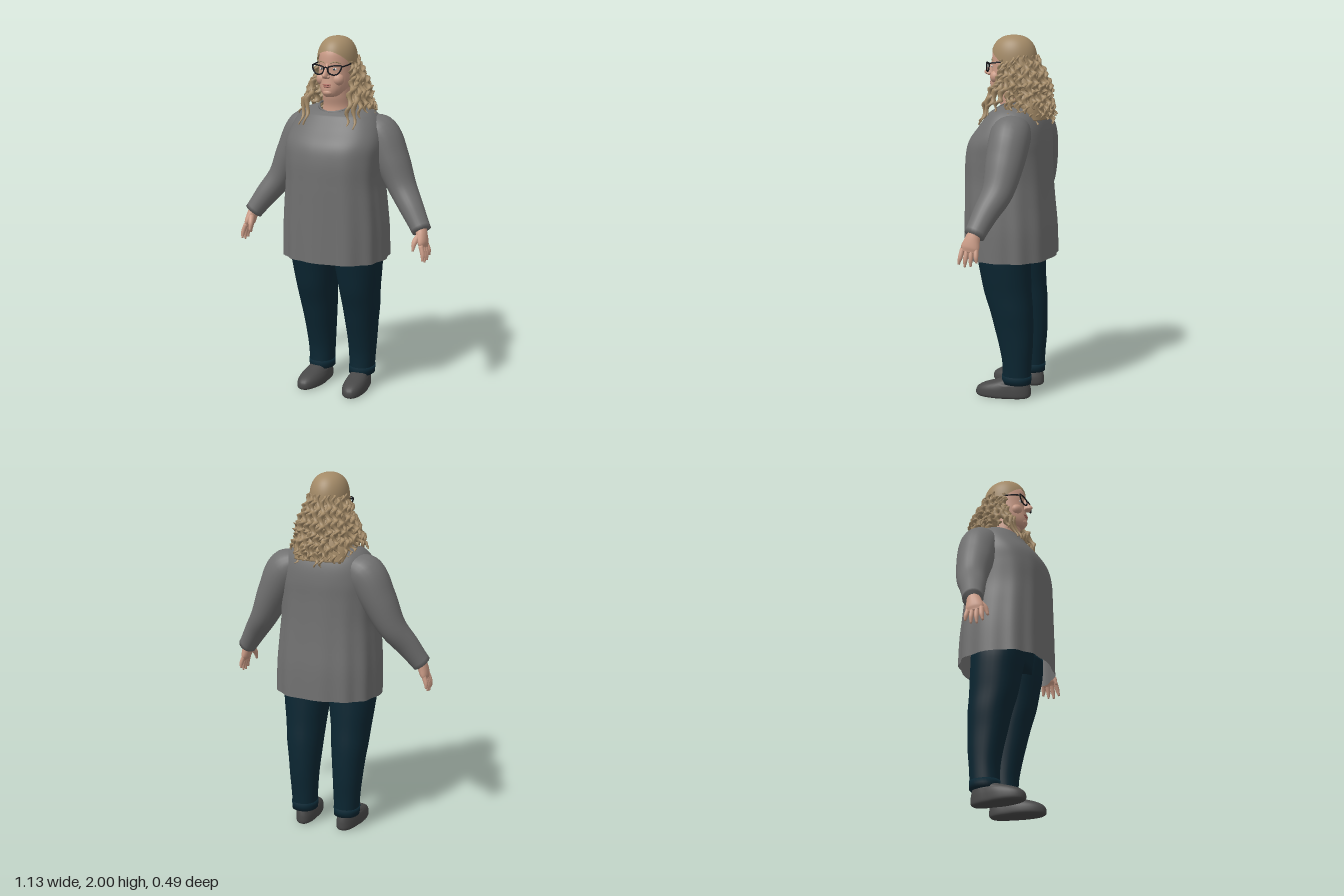
import * as THREE from 'three';

const mat = (name, color, side = THREE.FrontSide) => {
  const m = new THREE.MeshStandardMaterial({ color, side });
  m.name = name;
  return m;
};
const V = (x, y, z) => new THREE.Vector3(x, y, z);

// Closed surface through rows of ring points, optionally capped at either end
function skin(rows, capStart = true, capEnd = true) {
  const n = rows[0].length, pos = [], idx = [];
  rows.forEach(r => r.forEach(p => pos.push(p.x, p.y, p.z)));
  for (let i = 0; i < rows.length - 1; i++) for (let j = 0; j < n; j++) {
    const a = i * n + j, b = i * n + (j + 1) % n;
    idx.push(a, b, a + n, b, b + n, a + n);
  }
  const cap = (i, flip) => {
    const c = rows[i].reduce((s, p) => s.add(p), V(0, 0, 0)).divideScalar(n);
    const k = pos.length / 3;
    pos.push(c.x, c.y, c.z);
    for (let j = 0; j < n; j++) {
      const a = i * n + j, b = i * n + (j + 1) % n;
      flip ? idx.push(k, b, a) : idx.push(k, a, b);
    }
  };
  if (capStart) cap(0, true);
  if (capEnd) cap(rows.length - 1, false);
  const g = new THREE.BufferGeometry();
  g.setAttribute('position', new THREE.Float32BufferAttribute(pos, 3));
  g.setIndex(idx);
  g.computeVertexNormals();
  return g;
}

// Smoothly interpolated list of number rows
function spline(keys, t) {
  const f = t * (keys.length - 1), i = Math.min(Math.floor(f), keys.length - 2), u = f - i;
  const at = k => keys[Math.max(0, Math.min(keys.length - 1, k))];
  return keys[0].map((_, c) => {
    const p = at(i - 1)[c], a = at(i)[c], b = at(i + 1)[c], q = at(i + 2)[c];
    return a + 0.5 * u * (b - p + u * (2 * p - 5 * a + 4 * b - q + u * (3 * (a - b) + q - p)));
  });
}

// Horizontal rings, keys = [y, xMin, xMax, zMin, zMax]; power 2 is an ellipse
function loft(keys, { segs = 32, rows = 30, power = 2, warp, capStart, capEnd } = {}) {
  const out = [];
  for (let i = 0; i <= rows; i++) {
    const [y, x0, x1, z0, z1] = spline(keys, i / rows), ring = [];
    for (let j = 0; j < segs; j++) {
      const a = j / segs * Math.PI * 2, c = Math.cos(a), s = -Math.sin(a), e = 2 / power;
      const p = V((x0 + x1) / 2 + (x1 - x0) / 2 * Math.sign(c) * Math.abs(c) ** e, y,
        (z0 + z1) / 2 + (z1 - z0) / 2 * Math.sign(s) * Math.abs(s) ** e);
      if (warp) warp(p, a, i / rows);
      ring.push(p);
    }
    out.push(ring);
  }
  return skin(out, capStart, capEnd);
}

// Limb swept along a curve, radii = [[across, alongZ], ...]; twist makes a rope-like lock
function sweep(points, radii, { segs = 16, rows = 20, twist = 0, coil = 0, lobes = 0, phase = 0 } = {}) {
  const curve = new THREE.CatmullRomCurve3(points.map(p => V(...p))), out = [];
  for (let i = 0; i <= rows; i++) {
    const t = i / rows, T = curve.getTangent(t), c = curve.getPoint(t), [ra, rb] = spline(radii, t);
    const N = V(0, 0, 1).cross(T).normalize(), B = T.clone().cross(N), w = phase + twist * t;
    c.addScaledVector(N, coil * Math.cos(w)).addScaledVector(B, coil * Math.sin(w));
    const ring = [];
    for (let j = 0; j < segs; j++) {
      const a = j / segs * Math.PI * 2, k = 1 + lobes * Math.cos(2 * (a - w));
      ring.push(c.clone().addScaledVector(N, ra * k * Math.cos(a)).addScaledVector(B, rb * k * Math.sin(a)));
    }
    out.push(ring);
  }
  return skin(out);
}

export function createModel() {
  const root = new THREE.Group();
  const skinM = mat('skin', 0xcb9c87), hairM = mat('blonde hair', 0xa38a67, THREE.DoubleSide);
  const topM = mat('grey knit', 0x707070, THREE.DoubleSide), jeansM = mat('dark denim', 0x0b2632);
  const shoeM = mat('shoe grey', 0x484848), frameM = mat('glasses black', 0x14151b);
  const lipM = mat('lips', 0xa8685e), whiteM = mat('eye white', 0xd8d0ca), irisM = mat('iris', 0x3c4a50);
  const add = (name, geo, m, parent = root) => {
    const mesh = new THREE.Mesh(geo, m);
    mesh.name = name;
    parent.add(mesh);
    return mesh;
  };
  const blob = (name, m, p, s) => {
    const mesh = add(name, new THREE.SphereGeometry(1, 16, 12), m);
    mesh.position.set(...p);
    mesh.scale.set(...s);
  };
  const tube = (name, pts, r, m, closed = false) => add(name, new THREE.TubeGeometry(
    new THREE.CatmullRomCurve3(pts.map(p => V(...p)), closed), 32, r, 6, closed), m);
  let seed = 7;
  const rnd = () => (seed = (seed * 16807) % 2147483647) / 2147483647;

  // Loose tunic: open hem with soft folds, scooped neckline
  const tunic = [[0.79, 0.292, -0.238, 0.246], [0.95, 0.29, -0.233, 0.246], [1.1, 0.28, -0.22, 0.246],
    [1.22, 0.27, -0.212, 0.246], [1.34, 0.272, -0.207, 0.243], [1.43, 0.275, -0.205, 0.222],
    [1.51, 0.26, -0.195, 0.165], [1.57, 0.228, -0.175, 0.122], [1.61, 0.18, -0.145, 0.1], [1.635, 0.1, -0.1, 0.088]];
  add('tunic', loft(tunic.map(([y, x, b, f]) => [y, -x, x, b, f]), {
    segs: 96, rows: 54, power: 2.45, capStart: false, capEnd: false,
    warp: (p, a, t) => {
      const fold = 1 + 0.02 * Math.max(0, 1 - t * 1.7) * Math.cos(12 * a + 0.6 * Math.sin(3 * a));
      p.x *= fold;
      p.z *= fold;
      p.y -= Math.max(0, t - 0.8) * 5 * 0.4 * Math.max(0, p.z);
    },
  }), topM);
  tube('neckBand', [[0, 1.597, 0.09], [0.07, 1.61, 0.06], [0.1, 1.636, 0], [0.06, 1.638, -0.085],
    [-0.06, 1.638, -0.085], [-0.1, 1.636, 0], [-0.07, 1.61, 0.06]], 0.006, topM, true);

  // Jeans hips, hidden under the tunic
  add('hips', loft([[0.77, -0.25, 0.25, -0.135, 0.13], [1.0, -0.24, 0.24, -0.16, 0.16]], { rows: 4 }), jeansM);

  for (const s of [1, -1]) {
    const side = s > 0 ? 'left' : 'right';
    const m = keys => keys.map(([x, ...rest]) => [x * s, ...rest]);
    const mx = keys => keys.map(([y, a, b, c, d]) => s > 0 ? [y, a, b, c, d] : [y, -b, -a, c, d]);

    // Sleeve
    add(side + 'Sleeve', sweep(m([[0.15, 1.525, -0.06], [0.225, 1.475, -0.065], [0.3, 1.345, -0.06],
      [0.375, 1.195, -0.045], [0.45, 1.09, -0.005], [0.522, 0.985, 0.03]]),
      [[0.07, 0.09], [0.108, 0.11], [0.097, 0.105], [0.076, 0.085], [0.064, 0.068], [0.052, 0.055]],
      { segs: 24, rows: 30 }), topM);

    // Hand with four fingers and a thumb
    add(side + 'Palm', sweep(m([[0.515, 1.0, 0.028], [0.526, 0.965, 0.038], [0.537, 0.925, 0.046], [0.544, 0.9, 0.05]]),
      [[0.03, 0.034], [0.029, 0.042], [0.024, 0.05], [0.013, 0.043]]), skinM);
    for (let f = 0; f < 4; f++) {
      const z = 0.012 + f * 0.025, len = [0.055, 0.075, 0.08, 0.068][f];
      add(side + 'Finger', sweep(m([[0.54, 0.918, z], [0.555, 0.905 - len * 0.5, z + (f - 1) * 0.004],
        [0.557, 0.905 - len, z + (f - 1) * 0.008]]), [[0.013, 0.013], [0.012, 0.012], [0.006, 0.006]],
        { segs: 10, rows: 10 }), skinM);
    }
    add(side + 'Thumb', sweep(m([[0.518, 0.965, 0.06], [0.505, 0.93, 0.092], [0.503, 0.888, 0.108]]),
      [[0.017, 0.017], [0.015, 0.015], [0.007, 0.007]], { segs: 10, rows: 10 }), skinM);

    // Trouser leg and ankle cuff
    add(side + 'Leg', loft(mx([[0.085, 0.06, 0.195, -0.145, 0.012], [0.2, 0.055, 0.203, -0.15, 0.012],
      [0.3, 0.05, 0.212, -0.158, 0.03], [0.4, 0.042, 0.222, -0.16, 0.055], [0.5, 0.033, 0.236, -0.158, 0.08],
      [0.6, 0.025, 0.245, -0.15, 0.112], [0.7, 0.012, 0.258, -0.145, 0.132], [0.8, 0, 0.268, -0.14, 0.15],
      [0.9, 0, 0.265, -0.14, 0.155]]), { power: 2.2 }), jeansM);
    add(side + 'Cuff', loft(mx([[0.085, 0.057, 0.198, -0.148, 0.014], [0.13, 0.056, 0.202, -0.15, 0.015]]),
      { rows: 2, power: 2.2 }), jeansM);

    // Slip-on shoe, toes turned slightly out
    add(side + 'Shoe', loft(mx([[0, 0.08, 0.188, -0.13, 0.152], [0.012, 0.066, 0.198, -0.145, 0.165],
      [0.045, 0.066, 0.198, -0.146, 0.16], [0.07, 0.074, 0.193, -0.142, 0.125], [0.09, 0.084, 0.185, -0.136, 0.065],
      [0.105, 0.09, 0.175, -0.13, 0.02]]), {
      rows: 20, power: 2.3,
      warp: p => { p.x = s * 0.132 + (p.x - s * 0.132) * (p.z < -0.02 ? 0.9 : 1) + s * p.z * 0.08; },
    }), shoeM);

    // Eye, brow and glasses rim
    blob(side + 'Eye', whiteM, [s * 0.037, 1.831, 0.104], [0.014, 0.007, 0.007]);
    blob(side + 'Iris', irisM, [s * 0.037, 1.831, 0.108], [0.006, 0.006, 0.005]);
    tube(side + 'Brow', m([[0.016, 1.862, 0.114], [0.04, 1.869, 0.106], [0.064, 1.862, 0.088]]), 0.003, hairM);
    tube(side + 'Rim', m([[0.012, 1.84, 0.134], [0.016, 1.815, 0.134], [0.04, 1.803, 0.131], [0.068, 1.81, 0.126],
      [0.086, 1.85, 0.12], [0.045, 1.851, 0.13]]), 0.0042, frameM, true);
    tube(side + 'Temple', m([[0.085, 1.846, 0.12], [0.095, 1.85, 0.09], [0.1, 1.858, 0.02]]), 0.004, frameM);
    blob(side + 'Nostril', skinM, [s * 0.013, 1.79, 0.133], [0.01, 0.009, 0.012]);
    blob(side + 'Cheek', skinM, [s * 0.046, 1.775, 0.082], [0.034, 0.034, 0.032]);
  }
  tube('glassesBridge', [[-0.013, 1.837, 0.134], [0, 1.842, 0.138], [0.013, 1.837, 0.134]], 0.004, frameM);

  // Neck and head
  add('neck', loft([[1.55, -0.1, 0.1, -0.1, 0.075], [1.62, -0.08, 0.08, -0.085, 0.068],
    [1.68, -0.076, 0.076, -0.08, 0.082], [1.75, -0.075, 0.075, -0.08, 0.09]]), skinM);
  add('head', loft([[1.682, 0.03, 0.03, 0.11], [1.695, 0.052, -0.03, 0.122], [1.725, 0.074, -0.08, 0.126],
    [1.77, 0.087, -0.1, 0.121], [1.82, 0.09, -0.11, 0.117], [1.87, 0.092, -0.12, 0.116], [1.92, 0.088, -0.12, 0.108],
    [1.96, 0.066, -0.09, 0.075], [1.98, 0.03, -0.05, 0.035]].map(([y, x, b, f]) => [y, -x, x, b, f])), skinM);
  add('nose', loft([[1.782, -0.01, 0.01, 0.1, 0.142], [1.79, -0.016, 0.016, 0.1, 0.16], [1.803, -0.014, 0.014, 0.1, 0.164],
    [1.825, -0.011, 0.011, 0.1, 0.145], [1.86, -0.01, 0.01, 0.09, 0.12]], { segs: 16, rows: 14 }), skinM);
  blob('upperLip', lipM, [0, 1.748, 0.12], [0.026, 0.005, 0.01]);
  blob('lowerLip', lipM, [0, 1.738, 0.12], [0.022, 0.006, 0.011]);
  blob('chin', skinM, [0, 1.706, 0.106], [0.03, 0.019, 0.023]);

  // Smooth hair cap with a hairline that drops from forehead to nape
  const capRows = [];
  for (let i = 0; i <= 20; i++) capRows.push(Array.from({ length: 48 }, (_, j) => {
    const a = j / 48 * Math.PI * 2, low = 1.925 - 0.105 * (1 - Math.cos(a));
    const y = 1.999 - (1.999 - low) * (1 - i / 20) ** 1.7;
    const d = Math.max(0, (y - 1.86) / 0.14), k = (1 - d ** 2.4) ** (1 / 2.4);
    return V(Math.sin(a) * 0.106 * k, y, Math.cos(a) * 0.128 * k - 0.007);
  }));
  add('hairCap', skin(capRows, false, true), hairM);
  // Hair mass beneath the locks
  add('hairMass', loft([[1.55, -0.14, 0.14, -0.205, -0.12], [1.62, -0.155, 0.155, -0.2, -0.05],
    [1.7, -0.132, 0.132, -0.18, -0.01], [1.79, -0.112, 0.112, -0.15, 0.01], [1.88, -0.095, 0.095, -0.12, 0.01]]), hairM);

  // Twisted locks
  const locks = new THREE.Group();
  locks.name = 'hairLocks';
  root.add(locks);
  const lock = (pts, r) => add('lock', sweep(pts, [[0.5, 0.5], [1, 1], [1.1, 1.1], [1, 1], [0.3, 0.3]].map(k => k.map(v => v * r)),
    { segs: 8, rows: 44, twist: 22 + rnd() * 8, coil: r * 0.6, lobes: 0.22, phase: rnd() * 6 }), hairM, locks);
  // Back layers: [count, start height, end height, end spread]
  for (const [n, y0, y1, w] of [[17, 1.79, 1.53, 0.215], [15, 1.85, 1.575, 0.225], [12, 1.89, 1.65, 0.2]])
    for (let i = 0; i < n; i++) {
      const a = (95 + 170 * (i + 0.3 + rnd() * 0.4) / n) * Math.PI / 180, sx = Math.sin(a), cz = Math.cos(a);
      const ye = y1 + (rnd() - 0.5) * 0.05 + 0.03 * Math.abs(sx), ym = (y0 + ye) / 2;
      lock([[sx * 0.1, y0, cz * 0.122 - 0.008], [sx * 0.128, ym + 0.02, cz * 0.165 - 0.008],
        [sx * 0.165, ym - 0.06, cz * 0.195 - 0.012], [sx * w * 0.95, ye, cz * w - 0.012]], 0.0135);
    }
  // Side locks falling over the shoulders to the chest
  for (const s of [1, -1]) for (const [x0, z0, xe, ye, ze] of [[0.096, 0.035, 0.125, 1.53, 0.142], [0.1, 0.02, 0.16, 1.525, 0.132],
    [0.102, 0.005, 0.18, 1.575, 0.09], [0.102, -0.02, 0.195, 1.6, 0.04], [0.1, 0.03, 0.14, 1.61, 0.1], [0.1, -0.04, 0.2, 1.615, -0.03]]) {
    const j = (rnd() - 0.5) * 0.02;
    lock([[s * x0, 1.87, z0], [s * (x0 + 0.016), 1.78, z0], [s * (x0 * 0.45 + xe * 0.55 + 0.012), 1.68, (z0 + ze) / 2 + j],
      [s * xe, ye + j, ze]], 0.0135);
  }
  return root;
}
